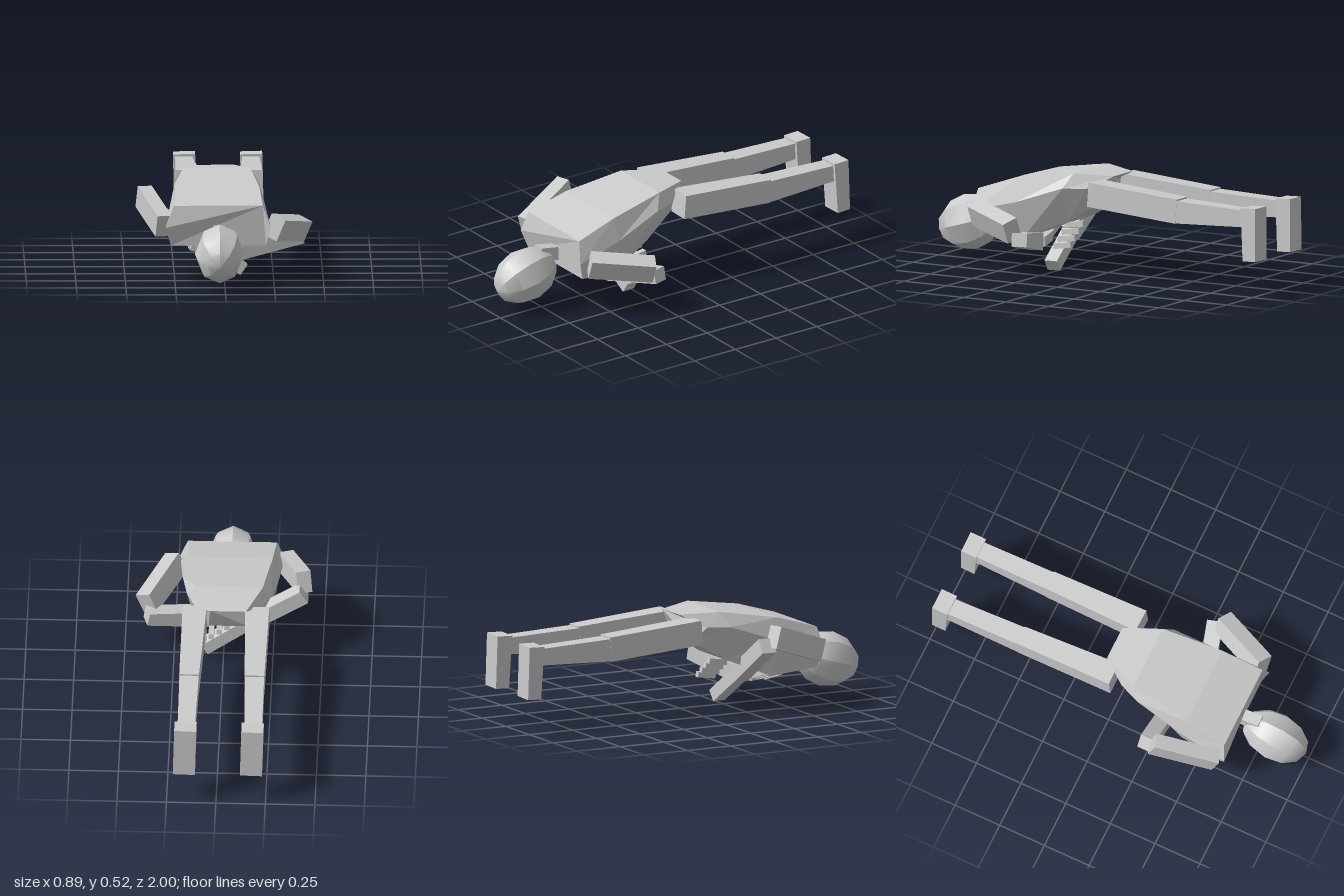
import * as THREE from 'three';
import { toCreasedNormals, mergeVertices } from 'three/addons/utils/BufferGeometryUtils.js';

const V = (a) => new THREE.Vector3(...a);
const flat = new THREE.MeshStandardMaterial({ color: 0xcccccc, flatShading: true });
const smooth = new THREE.MeshStandardMaterial({ color: 0xcccccc });

// Tapered box running from a to b; each size is [width, height]
function beam(name, a, b, sizeA, sizeB = sizeA, upHint = [0, 1, 0]) {
  const start = V(a), end = V(b);
  const dir = end.clone().sub(start);
  const length = dir.length();
  dir.normalize();
  const side = V(upHint).cross(dir).normalize();
  const up = dir.clone().cross(side);
  const geo = new THREE.BoxGeometry(1, 1, length);
  const p = geo.attributes.position;
  for (let i = 0; i < p.count; i++) {
    const s = p.getZ(i) > 0 ? sizeB : sizeA;
    p.setXY(i, p.getX(i) * s[0], p.getY(i) * s[1]);
  }
  geo.applyMatrix4(new THREE.Matrix4().makeBasis(side, up, dir));
  const mid = start.add(end).multiplyScalar(0.5);
  geo.translate(mid.x, mid.y, mid.z);
  const mesh = new THREE.Mesh(geo, flat);
  mesh.name = name;
  return mesh;
}

// Six-sided torso lofted from shoulders to hips
function makeTorso() {
  // each section: top, side, bottom as [half width, y, z]
  const sections = [
    [[0.225, 0.41, 0.65], [0.265, 0.3, 0.67], [0.24, 0.205, 0.64]],
    [[0.21, 0.475, 0.43], [0.245, 0.36, 0.42], [0.2, 0.175, 0.4]],
    [[0.17, 0.525, 0.12], [0.215, 0.45, 0.16], [0.14, 0.27, 0.17]],
    [[0.09, 0.515, -0.07], [0.17, 0.45, 0.05], [0.1, 0.37, 0.0]],
  ];
  const cx = -0.032;
  const pos = [], index = [];
  for (const [t, s, b] of sections) {
    for (const q of [t, s, b]) pos.push(cx + q[0], q[1], q[2]);
    for (const q of [b, s, t]) pos.push(cx - q[0], q[1], q[2]);
  }
  const n = 6, last = (sections.length - 1) * n;
  for (let r = 0; r < sections.length - 1; r++) {
    for (let i = 0; i < n; i++) {
      const a = r * n + i, b = r * n + (i + 1) % n;
      index.push(a, a + n, b, b, a + n, b + n);
    }
  }
  for (let i = 1; i < n - 1; i++) {
    index.push(0, i + 1, i);
    index.push(last, last + i, last + i + 1);
  }
  // keep the winding outward
  for (let i = 0; i < index.length; i += 3) {
    const [a, b, c] = [0, 1, 2].map((k) => V(pos.slice(index[i + k] * 3, index[i + k] * 3 + 3)));
    const normal = b.clone().sub(a).cross(c.clone().sub(a));
    const out = a.clone().add(b).add(c).divideScalar(3).sub(V([cx, 0.38, 0.32]));
    if (normal.dot(out) < 0) [index[i + 1], index[i + 2]] = [index[i + 2], index[i + 1]];
  }
  const geo = new THREE.BufferGeometry();
  geo.setAttribute('position', new THREE.Float32BufferAttribute(pos, 3));
  geo.setIndex(index);
  geo.computeVertexNormals();
  const mesh = new THREE.Mesh(geo, flat);
  mesh.name = 'torso';
  return mesh;
}

// Egg-shaped head, crown pointing forward and a little down
function makeHead() {
  let geo = new THREE.SphereGeometry(1, 8, 6);
  geo.scale(0.125, 0.178, 0.142);
  geo.rotateX(Math.PI / 2 + 0.28);
  geo.translate(-0.028, 0.19, 0.828);
  geo.deleteAttribute('uv');
  geo.deleteAttribute('normal');
  geo = toCreasedNormals(mergeVertices(geo, 1e-4), 0.62);
  const mesh = new THREE.Mesh(geo, smooth);
  mesh.name = 'head';
  return mesh;
}

// Straight leg with a foot pointing down
function makeLeg(name, hipX, kneeX, ankleX) {
  const leg = new THREE.Group();
  leg.name = name;
  leg.add(
    beam('thigh', [hipX, 0.435, 0], [kneeX, 0.395, -0.52], [0.122, 0.125], [0.1, 0.125]),
    beam('shin', [kneeX, 0.392, -0.515], [ankleX, 0.393, -0.92], [0.098, 0.115], [0.088, 0.085]),
    beam('foot', [ankleX + 0.003, 0.45, -0.95], [ankleX + 0.01, 0.18, -0.96], [0.112, 0.085], [0.112, 0.075], [0, 0, 1]),
  );
  return leg;
}

// Four parallel fingers spaced along a line
function addFingers(arm, first, step, length, size) {
  for (let i = 0; i < 4; i++) {
    const root = V(first).addScaledVector(V(step), i);
    const tip = root.clone().add(V(length));
    arm.add(beam('finger', root.toArray(), tip.toArray(), size));
  }
}

export function createModel() {
  const model = new THREE.Group();
  model.name = 'lyingFigure';

  model.add(makeTorso(), makeHead());
  model.add(beam('neck', [-0.03, 0.27, 0.63], [-0.03, 0.29, 0.75], [0.06, 0.07]));

  model.add(makeLeg('leftLeg', 0.138, 0.15, 0.152));
  model.add(makeLeg('rightLeg', -0.178, -0.18, -0.187));

  // Left arm, folded under the chest
  const leftArm = new THREE.Group();
  leftArm.name = 'leftArm';
  leftArm.add(
    beam('upperArm', [0.25, 0.295, 0.625], [0.392, 0.25, 0.33], [0.085, 0.115], [0.085, 0.11], [0.45, 1, 0]),
    beam('forearm', [0.39, 0.205, 0.29], [0.08, 0.145, 0.38], [0.08, 0.07], [0.08, 0.09]),
    beam('hand', [0.08, 0.145, 0.38], [-0.06, 0.15, 0.42], [0.1, 0.05]),
  );
  addFingers(leftArm, [-0.05, 0.135, 0.465], [-0.006, 0.006, -0.026], [-0.12, 0.04, 0.02], [0.022, 0.03]);
  model.add(leftArm);

  // Right arm, crossing below the belly
  const rightArm = new THREE.Group();
  rightArm.name = 'rightArm';
  rightArm.add(
    beam('upperArm', [-0.308, 0.303, 0.63], [-0.405, 0.412, 0.32], [0.075, 0.115]),
    beam('forearm', [-0.405, 0.37, 0.285], [-0.1, 0.17, 0.285], [0.08, 0.08]),
    beam('hand', [-0.1, 0.17, 0.285], [0.1, 0.033, 0.27], [0.07, 0.065]),
  );
  addFingers(rightArm, [0.1, 0.135, 0.255], [-0.04, 0.03, 0], [0, 0.015, -0.1], [0.028, 0.028]);
  model.add(rightArm);

  return model;
}
